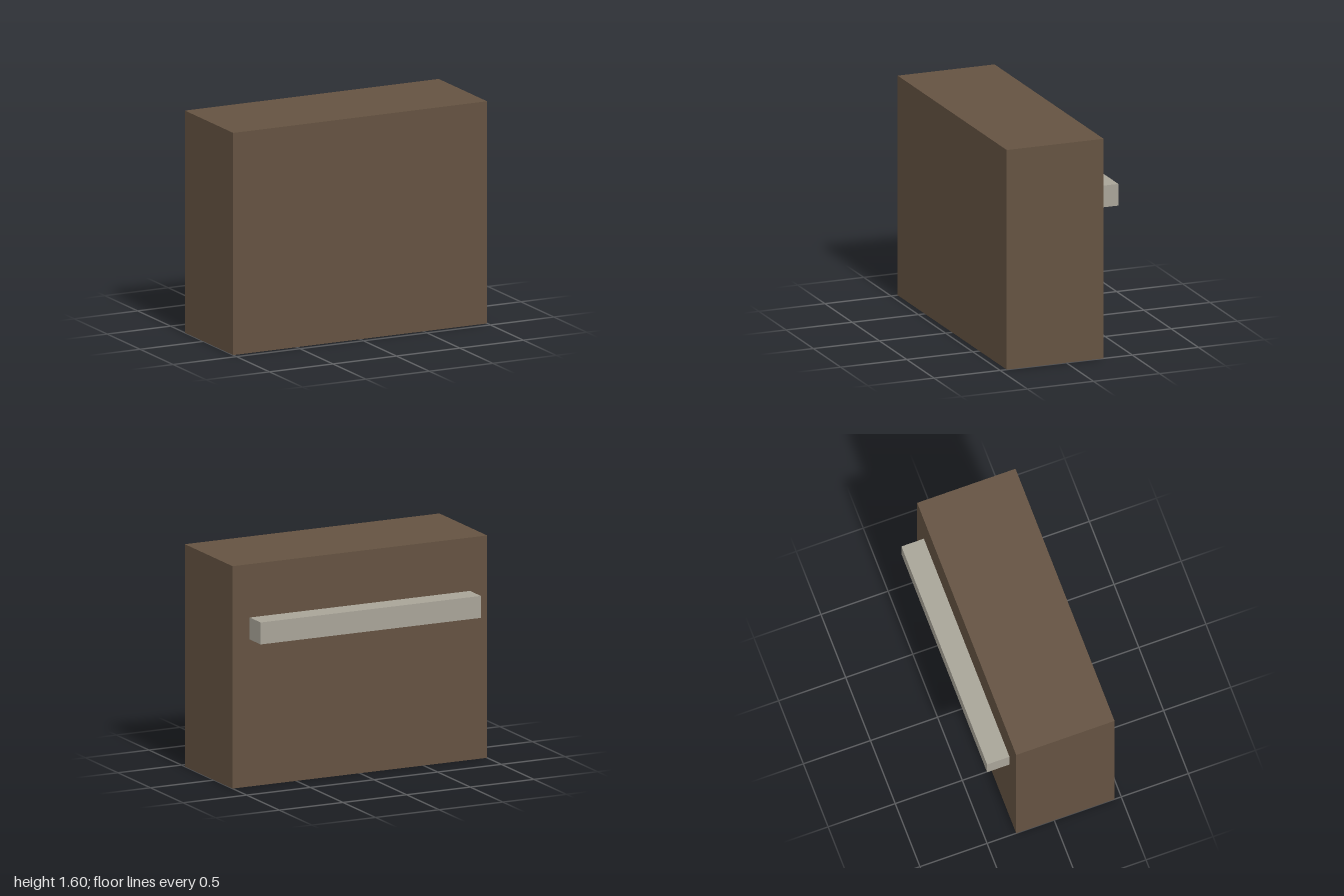
import * as THREE from 'three';

// Box spanning the given [min, max] ranges on each axis
function block(name, [x0, x1], [y0, y1], [z0, z1], material) {
  const mesh = new THREE.Mesh(new THREE.BoxGeometry(x1 - x0, y1 - y0, z1 - z0), material);
  mesh.position.set((x0 + x1) / 2, (y0 + y1) / 2, (z0 + z1) / 2);
  mesh.name = name;
  return mesh;
}

export function createModel() {
  const brown = new THREE.MeshStandardMaterial({ color: 0x645241 });
  brown.name = 'brown';
  const grey = new THREE.MeshStandardMaterial({ color: 0xa8a498 });
  grey.name = 'warm grey';

  const model = new THREE.Group();
  model.name = 'cabinet';

  // Main body
  model.add(block('body', [-1, 1], [0, 1.6], [-0.283, 0.45], brown));
  // Rail across the back
  model.add(block('backRail', [-0.865, 0.865], [1.058, 1.216], [-0.45, -0.283], grey));

  return model;
}
